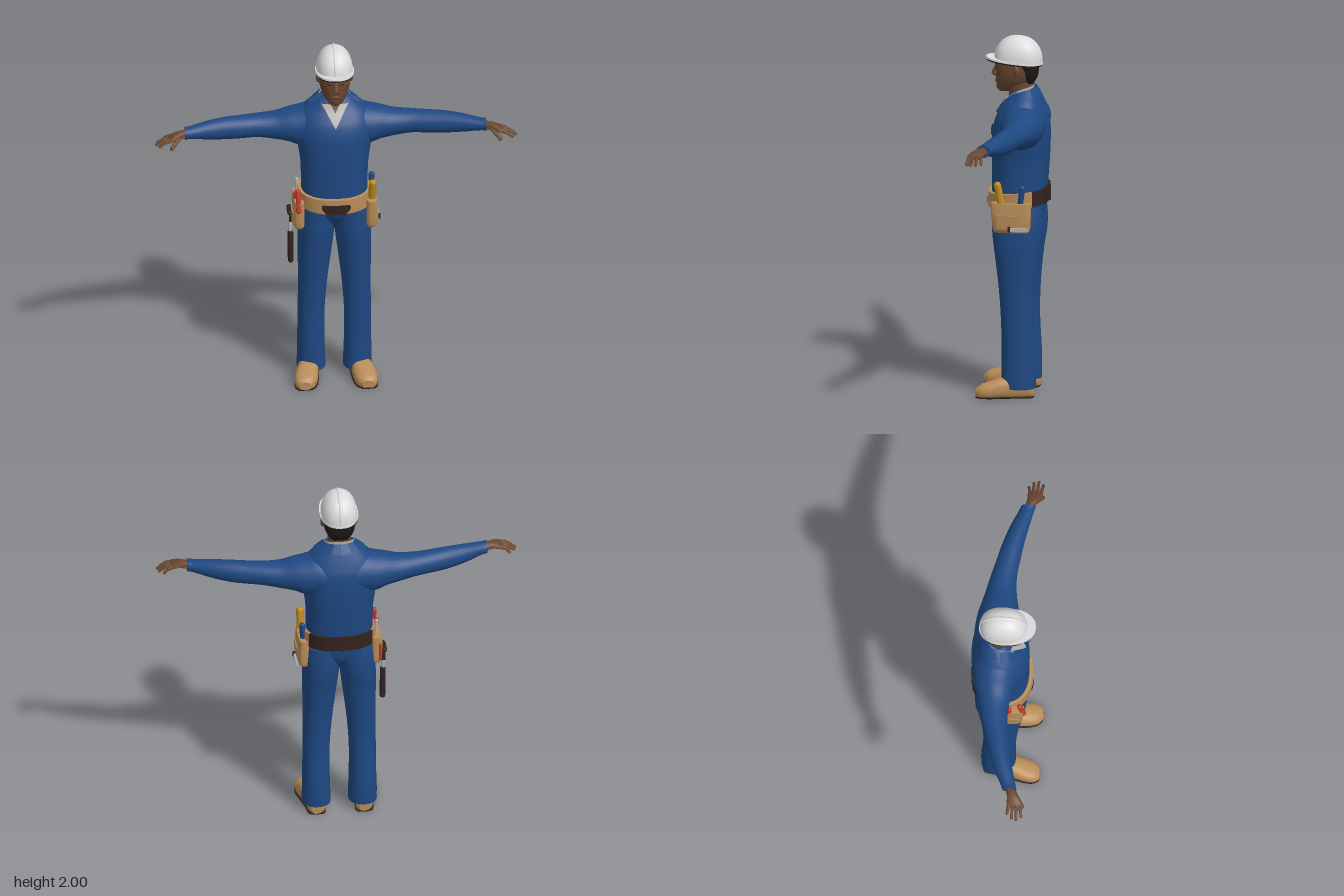
import * as THREE from 'three';
import { ParametricGeometry } from 'three/addons/geometries/ParametricGeometry.js';

const paint = (name, color, side = THREE.FrontSide) => {
  const m = new THREE.MeshStandardMaterial({ color, side });
  m.name = name;
  return m;
};

// Smoothly interpolated row of a section table, keyed by its first column
function at(rows, t) {
  let i = 0;
  while (i < rows.length - 2 && t > rows[i + 1][0]) i++;
  const b = rows[i], c = rows[i + 1], a = rows[i - 1] || b, d = rows[i + 2] || c;
  const h = c[0] - b[0], k = Math.min(1, Math.max(0, (t - b[0]) / h));
  return b.map((_, j) => {
    const m1 = (c[j] - a[j]) / (c[0] - a[0]) * h, m2 = (d[j] - b[j]) / (d[0] - b[0]) * h;
    const k2 = k * k, k3 = k2 * k;
    return (2 * k3 - 3 * k2 + 1) * b[j] + (k3 - 2 * k2 + k) * m1 + (3 * k2 - 2 * k3) * c[j] + (k3 - k2) * m2;
  });
}
const pow = (v, e) => Math.sign(v) * Math.abs(v) ** e;

// Loft of superellipses. Row: [t, centreA, centreB, radiusA, radiusB]
// axis y: A = z, B = x   axis x: A = y, B = z   axis z: A = x, B = y
function loft(axis, rows, p = 2, n = 28, steps = 4) {
  const pos = [], idx = [], ts = [];
  rows.slice(1).forEach((r, i) => {
    for (let s = 0; s < steps; s++) ts.push(rows[i][0] + (r[0] - rows[i][0]) * s / steps);
  });
  ts.push(rows.at(-1)[0]);
  const put = (t, a, b) => pos.push(...(axis === 'y' ? [b, t, a] : axis === 'x' ? [t, a, b] : [a, b, t]));
  const ring = t => {
    const r = at(rows, t);
    for (let j = 0; j < n; j++) {
      const w = j / n * Math.PI * 2;
      put(t, r[1] + r[3] * pow(Math.cos(w), 2 / p), r[2] + r[4] * pow(Math.sin(w), 2 / p));
    }
    return r;
  };
  ts.forEach(ring);
  for (let i = 0; i < ts.length - 1; i++) for (let j = 0; j < n; j++) {
    const a = i * n + j, b = i * n + (j + 1) % n;
    idx.push(a, b, b + n, a, b + n, a + n);
  }
  [ts[0], ts.at(-1)].forEach((t, end) => {
    const o = pos.length / 3, r = ring(t);
    put(t, r[1], r[2]);
    for (let j = 0; j < n; j++) {
      const a = o + j, b = o + (j + 1) % n;
      idx.push(o + n, ...(end ? [a, b] : [b, a]));
    }
  });
  const g = new THREE.BufferGeometry();
  g.setAttribute('position', new THREE.Float32BufferAttribute(pos, 3));
  g.setIndex(idx);
  g.computeVertexNormals();
  return g;
}

// Moves every vertex by a rule
function bend(g, rule) {
  const p = g.attributes.position, v = new THREE.Vector3();
  for (let i = 0; i < p.count; i++) {
    rule(v.fromBufferAttribute(p, i));
    p.setXYZ(i, v.x, v.y, v.z);
  }
  g.computeVertexNormals();
  return g;
}
function mirror(g) {
  const m = g.clone().scale(-1, 1, 1), a = m.index.array;
  for (let i = 0; i < a.length; i += 3) [a[i], a[i + 1]] = [a[i + 1], a[i]];
  return m;
}
// Rounded rod between two points
function rod(a, b, r) {
  const A = new THREE.Vector3(...a), B = new THREE.Vector3(...b), d = B.clone().sub(A);
  const q = new THREE.Quaternion().setFromUnitVectors(new THREE.Vector3(0, 1, 0), d.clone().normalize());
  const mid = A.add(B).multiplyScalar(0.5);
  return new THREE.CapsuleGeometry(r, d.length(), 4, 10).applyQuaternion(q).translate(mid.x, mid.y, mid.z);
}
const box = (w, h, d, x, y, z) => new THREE.BoxGeometry(w, h, d).translate(x, y, z);
const ball = (w, h, d, x, y, z) => new THREE.SphereGeometry(1, 16, 12).scale(w, h, d).translate(x, y, z);

// Front surface depth of an upright loft
function frontZ(rows, x, y, p) {
  const r = at(rows, y);
  return r[1] + r[3] * Math.max(0, 1 - Math.abs(x / r[4]) ** p) ** (1 / p);
}
// Thin plate following the front; edges(v) gives [x0, y0, x1, y1]
const plate = (rows, p, lift, edges) => new ParametricGeometry((u, v, o) => {
  const [x0, y0, x1, y1] = edges(v), x = x0 + (x1 - x0) * u, y = y0 + (y1 - y0) * u;
  o.set(x, y, frontZ(rows, x, y, p) + lift);
}, 10, 8);

const TORSO = [[0.89, -0.02, 0, 0.025, 0.03], [0.93, -0.02, 0, 0.07, 0.09], [0.98, -0.02, 0, 0.117, 0.16],
  [1.04, -0.015, 0, 0.143, 0.188], [1.15, -0.02, 0, 0.15, 0.183], [1.3, -0.025, 0, 0.157, 0.186],
  [1.4, -0.028, 0, 0.158, 0.2], [1.48, -0.03, 0, 0.156, 0.212], [1.55, -0.035, 0, 0.142, 0.21],
  [1.6, -0.04, 0, 0.118, 0.19], [1.64, -0.045, 0, 0.095, 0.155], [1.68, -0.045, 0, 0.075, 0.108], [1.7, -0.045, 0, 0.06, 0.08]];
const HEAD = [[1.685, 0.062, 0, 0.03, 0.022], [1.7, 0.052, 0, 0.054, 0.043], [1.73, 0.02, 0, 0.09, 0.065],
  [1.77, 0, 0, 0.112, 0.081], [1.82, -0.005, 0, 0.117, 0.088], [1.9, -0.008, 0, 0.11, 0.085]];
const ARM = [[0.02, 1.5, -0.05, 0.11, 0.13], [0.12, 1.515, -0.05, 0.122, 0.124], [0.2, 1.51, -0.05, 0.11, 0.114],
  [0.25, 1.515, -0.048, 0.095, 0.102], [0.32, 1.514, -0.045, 0.078, 0.086], [0.42, 1.52, -0.035, 0.066, 0.071],
  [0.52, 1.522, -0.015, 0.064, 0.064], [0.6, 1.525, 0.002, 0.062, 0.059], [0.7, 1.53, 0.03, 0.051, 0.052],
  [0.8, 1.535, 0.065, 0.034, 0.041], [0.825, 1.535, 0.073, 0.035, 0.04]];
const LEG = [[0.05, -0.03, 0.127, 0.093, 0.079], [0.09, -0.03, 0.127, 0.095, 0.078], [0.2, -0.03, 0.128, 0.094, 0.075],
  [0.4, -0.024, 0.127, 0.09, 0.074], [0.6, -0.02, 0.118, 0.1, 0.081], [0.8, -0.018, 0.107, 0.123, 0.095],
  [0.9, -0.02, 0.1, 0.138, 0.1], [0.98, -0.02, 0.094, 0.141, 0.103], [1.06, -0.015, 0.088, 0.14, 0.1]];
const SHOE = [[-0.115, 0.13, 0.04, 0.028, 0.038], [-0.1, 0.13, 0.045, 0.046, 0.05], [-0.03, 0.137, 0.05, 0.052, 0.062],
  [0.05, 0.15, 0.05, 0.06, 0.06], [0.12, 0.162, 0.038, 0.064, 0.05], [0.17, 0.169, 0.03, 0.055, 0.04],
  [0.197, 0.174, 0.025, 0.032, 0.024]];

export function createModel() {
  const model = new THREE.Group();
  const blue = paint('coverall blue', 0x1e4882, THREE.DoubleSide), skin = paint('skin', 0x694630);
  const palm = paint('palm skin', 0x8a6342), tan = paint('tan leather', 0xb88c58);
  const brown = paint('dark brown leather', 0x33231e), black = paint('hair black', 0x1d1715);
  const white = paint('helmet white', 0xdcdcde), silver = paint('steel and shirt grey', 0xb2b1ae, THREE.DoubleSide);
  const red = paint('tool red', 0xc23a2b), yellow = paint('tool yellow', 0xbd8a1e);
  const add = (name, g, m, parent = model) => {
    const mesh = new THREE.Mesh(g, m);
    mesh.name = name;
    parent.add(mesh);
  };
  const pair = (name, g, m) => {
    add(name + 'Left', g, m);
    add(name + 'Right', mirror(g), m);
  };

  // Coverall
  add('torso', loft('y', TORSO, 2.3, 36), blue);
  pair('sleeve', loft('x', ARM), blue);
  pair('trouserLeg', loft('y', LEG, 2.2), blue);
  pair('pocketFlap', plate(TORSO, 2.3, 0.009, v => [0.06, 1.465 + v * 0.05, 0.178, 1.45 + v * 0.07]), blue);

  // Shirt with open neck
  add('shirtFront', plate(TORSO, 2.3, 0.007, v => [-0.072 * v, 1.55 + v * 0.12, 0.072 * v, 1.55 + v * 0.12]), silver);
  add('openNeck', plate(TORSO, 2.3, 0.01, v => [-0.026 * v, 1.625 + v * 0.048, 0.026 * v, 1.625 + v * 0.048]), skin);

  // Folded collar, from the back of the neck to the front point
  const curve = pts => new THREE.CatmullRomCurve3(pts.map(q => new THREE.Vector3(...q)), false, 'catmullrom', 0.15);
  const top = curve([[0, 1.715, -0.105], [0.035, 1.715, -0.1], [0.07, 1.71, -0.08], [0.09, 1.695, -0.03],
    [0.07, 1.65, 0.045], [0.005, 1.56, 0.1]]);
  const low = curve([[0, 1.665, -0.14], [0.055, 1.668, -0.132], [0.105, 1.67, -0.1], [0.137, 1.67, -0.03],
    [0.128, 1.59, 0.07], [0.05, 1.575, 0.1]]);
  pair('collar', new ParametricGeometry((u, v, o) => {
    o.copy(low.getPoint(u)).lerp(top.getPoint(u), v);
    if (o.z > -0.02) o.z = Math.max(o.z, frontZ(TORSO, o.x, o.y, 2.3) + 0.012);
  }, 30, 6), blue);
  pair('shirtCollar', new ParametricGeometry((u, v, o) => {
    o.copy(top.getPoint(u * 0.8));
    o.set(o.x * 0.95, o.y - 0.025 + v * 0.036, o.z + 0.005);
  }, 20, 2), silver);

  // Hands, with paler undersides
  const hand = (name, g) => {
    pair(name, g, skin);
    pair(name + 'Underside', g.clone().translate(0, -0.004, 0), palm);
  };
  hand('palm', loft('x', [[0.81, 1.535, 0.073, 0.022, 0.026], [0.86, 1.536, 0.094, 0.02, 0.032],
    [0.9, 1.527, 0.106, 0.015, 0.042], [0.918, 1.522, 0.108, 0.008, 0.036]]));
  const reach = [0.95, 0.976, 0.983, 0.965];
  reach.forEach((x, i) => {
    const z = 0.076 + i * 0.02, zt = 0.068 + i * 0.026, mid = [(0.905 + x) / 2, 1.518, (z + zt) / 2];
    hand('fingerBase' + (i + 1), rod([0.9, 1.526, z], mid, 0.0095));
    hand('fingerTip' + (i + 1), rod(mid, [x, 1.497, zt], 0.008));
  });
  hand('thumb', rod([0.855, 1.527, 0.112], [0.9, 1.484, 0.148], 0.011));

  // Shoes with thin soles
  pair('shoe', bend(loft('z', SHOE, 2.4), v => { v.y = Math.max(v.y, 0.004); }), tan);
  pair('shoeSole', bend(loft('z', SHOE.map(r => [r[0], r[1], 0.008, r[3] + 0.001, 0.03]), 2.4),
    v => { v.y = Math.min(0.007, Math.max(0, v.y)); }), brown);

  // Head and face
  add('neck', loft('y', [[1.57, -0.02, 0, 0.06, 0.06], [1.68, -0.028, 0, 0.068, 0.064], [1.78, -0.025, 0, 0.07, 0.062]]), skin);
  add('head', loft('y', HEAD, 2.2), skin);
  add('hair', loft('y', [[1.735, -0.075, 0, 0.022, 0.046], [1.77, -0.071, 0, 0.047, 0.07],
    [1.82, -0.067, 0, 0.056, 0.084], [1.858, -0.052, 0, 0.07, 0.09]], 2.3), black);
  add('nose', loft('y', [[1.768, 0.108, 0, 0.012, 0.012], [1.78, 0.113, 0, 0.022, 0.02],
    [1.79, 0.113, 0, 0.022, 0.016], [1.835, 0.103, 0, 0.012, 0.01]]), skin);
  add('lips', ball(0.028, 0.009, 0.012, 0, 1.744, 0.105), skin);
  add('mouthLine', plate(HEAD, 2.2, 0.008, v => [-0.024, 1.742 + v * 0.003, 0.024, 1.742 + v * 0.003]), brown);
  pair('ear', ball(0.012, 0.03, 0.018, 0.09, 1.812, -0.012), skin);
  pair('eye', plate(HEAD, 2.2, 0.003, v => [0.022, 1.817 + v * 0.006, 0.046, 1.817 + v * 0.006]), black);
  pair('eyebrow', plate(HEAD, 2.2, 0.004, v => [0.017, 1.838 + v * 0.005, 0.055, 1.838 + v * 0.005]), brown);

  // Hard hat, tilted slightly back
  const helmet = new THREE.Group();
  helmet.name = 'helmet';
  helmet.position.y = 1.86;
  helmet.rotation.x = -0.1;
  model.add(helmet);
  const dome = (w, h, d) => loft('y', Array.from({ length: 9 }, (_, i) => {
    const a = i / 8 * 1.56, c = Math.cos(a) ** 0.88;
    return [h * Math.sin(a), -0.011, 0, d * c, w * c];
  }), 2.35, 36, 2);
  const brim = (y0, y1, inset) => bend(loft('y', [[y0, 0, 0, 0.147 - inset, 0.107 - inset], [y1, 0, 0, 0.146 - inset, 0.106 - inset]], 2.2, 40, 1),
    v => { if (v.z > 0) v.z *= 1.14; });
  add('helmetDome', dome(0.1, 0.135, 0.13), white, helmet);
  add('helmetRidge', dome(0.03, 0.14, 0.134), white, helmet);
  add('helmetBrim', brim(-0.006, 0.004, 0), white, helmet);
  add('helmetLining', brim(-0.014, -0.006, 0.003), black, helmet);

  // Belt: tan in front, dark behind
  const profile = [[-0.02, -0.042], [0, -0.042], [0, 0.042], [-0.02, 0.042]];
  const belt = (a0, a1) => new ParametricGeometry((u, v, o) => {
    const a = a0 + (a1 - a0) * u, [d, h] = profile[Math.round(v * 3)];
    const z = -0.018 + (0.168 + d) * pow(Math.cos(a), 0.9);
    o.set((0.2 + d) * pow(Math.sin(a), 0.9), 1.105 - 0.1 * z + h, z);
  }, 40, 3);
  add('beltFront', belt(-2.1, 2.1), tan);
  add('beltBack', belt(2.1, Math.PI * 2 - 2.1), brown);
  const beltFace = [[1, -0.018, 0, 0.168, 0.2], [1.2, -0.018, 0, 0.168, 0.2]];
  add('buckle', plate(beltFace, 2.2, 0.006, v => {
    const w = 0.05 + 0.03 * Math.sin(v * 2.2), y = 1.047 + v * 0.058;
    return [-w, y, w, y];
  }), brown);
  for (const x of [-0.09, 0, 0.09]) add('beltLoop', box(0.018, 0.088, 0.012, x, 1.122, x ? -0.17 : -0.183), brown);

  // Tool pouches
  pair('pouch', loft('y', [[0.935, 0, 0.196, 0.092, 0.022], [0.95, 0, 0.198, 0.102, 0.03],
    [1.02, 0.002, 0.2, 0.108, 0.033], [1.1, 0.004, 0.198, 0.112, 0.028]], 4), tan);
  pair('pouchPocket', loft('y', [[0.945, 0.01, 0.215, 0.07, 0.014], [0.96, 0.01, 0.218, 0.08, 0.018],
    [1.035, 0.01, 0.218, 0.084, 0.02]], 4), tan);

  // Tools on the left
  add('yellowTool', rod([0.202, 1.06, 0.05], [0.204, 1.198, 0.077], 0.021), yellow);
  add('blueHandle', rod([0.2, 1.06, -0.045], [0.207, 1.185, -0.06], 0.016), blue);
  add('wrench', box(0.012, 0.022, 0.1, 0.241, 0.959, -0.045), silver);
  add('wrenchHolder', box(0.016, 0.028, 0.014, 0.243, 0.962, 0.008), brown);

  // Tools on the right
  add('redHandleFront', rod([-0.203, 1.055, 0.112], [-0.206, 1.165, 0.09], 0.014), red);
  add('redHandleMiddle', rod([-0.215, 1.03, 0.03], [-0.215, 1.135, 0.035], 0.012), red);
  add('redHandleBack', rod([-0.218, 0.965, -0.104], [-0.218, 1.06, -0.108], 0.009), red);
  add('screwdriver', rod([-0.2, 1.06, -0.04], [-0.205, 1.175, -0.045], 0.011), silver);
  add('hammerLoop', box(0.026, 0.04, 0.1, -0.236, 0.965, -0.035), brown);
  add('hammerHead', rod([-0.246, 0.998, -0.065], [-0.246, 0.998, 0.01], 0.014), brown);
  add('hammerShaft', rod([-0.245, 0.99, -0.03], [-0.241, 0.86, -0.03], 0.011), silver);
  add('hammerGrip', rod([-0.24, 0.86, -0.03], [-0.238, 0.69, -0.03], 0.016), brown);

  return model;
}
